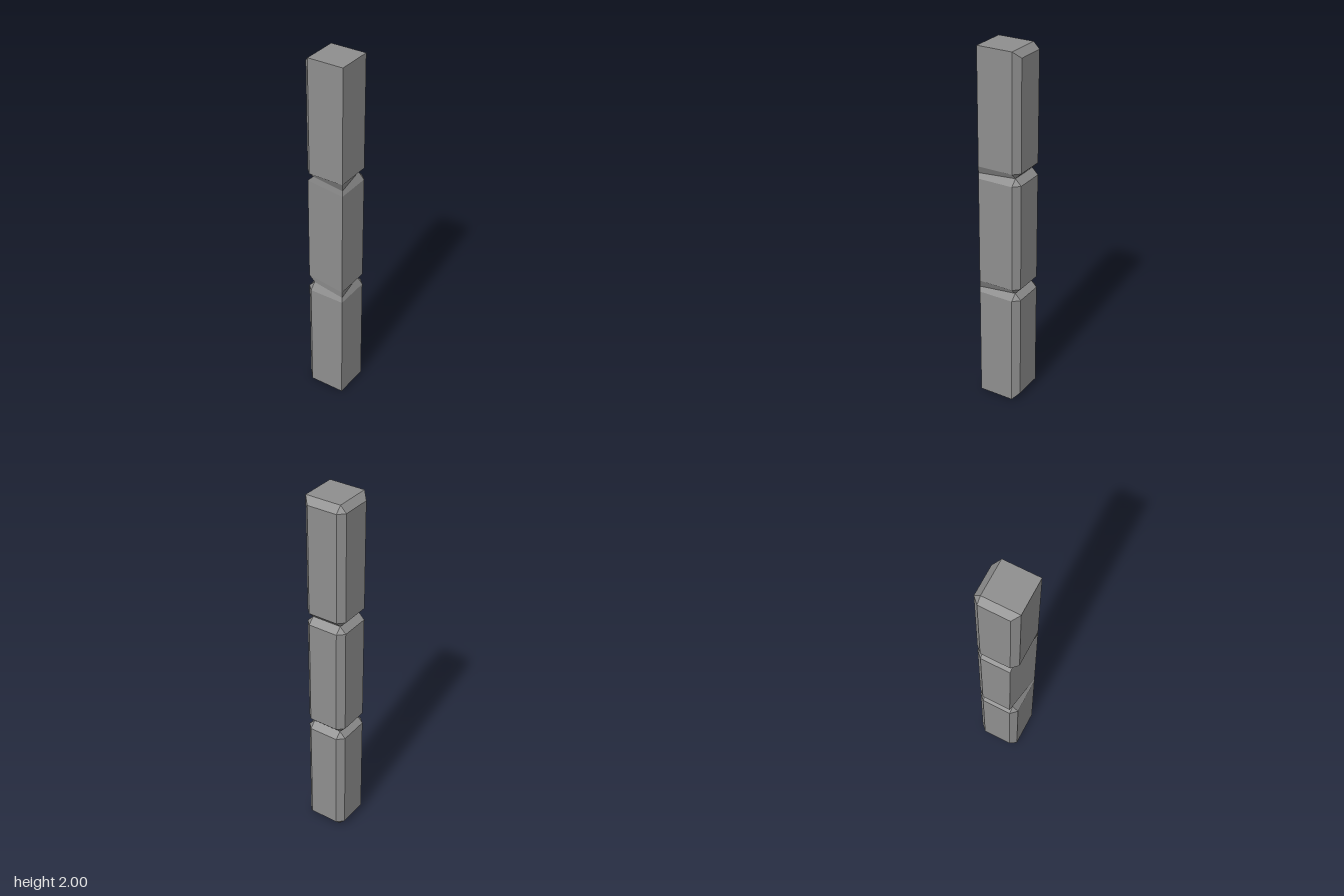
import * as THREE from 'three';

const W = 0.117;          // half width of the column
const I = 0.083;          // inset position of the bevels
const BEVEL = W - I;
const BLOCK = 2 / 3;      // height of one block

// Builds a closed solid from stacked rings of [x, z], counterclockwise from above.
// Each side panel gets a single normal, so slightly twisted bevels shade evenly.
function loft(rings) {
  const pos = [], norm = [];
  const tri = (normal, ...corners) => {
    for (const p of corners) {
      pos.push(p.x, p.y, p.z);
      norm.push(normal.x, normal.y, normal.z);
    }
  };
  const quad = (a, b, c, d) => {
    const ac = c.clone().sub(a), bd = d.clone().sub(b);
    const normal = ac.clone().cross(bd);
    if (normal.length() < 1e-8) return;
    normal.normalize();
    // The longer diagonal follows the recessed side of a twisted bevel
    const split = ac.length() > bd.length() ? [[a, b, c], [a, c, d]] : [[a, b, d], [b, c, d]];
    for (const [p, q, r] of split) {
      if (p.distanceTo(q) > 1e-5 && q.distanceTo(r) > 1e-5 && r.distanceTo(p) > 1e-5) tri(normal, p, q, r);
    }
  };
  const loops = rings.map(({ y, ring }) => ring.map(([x, z]) => new THREE.Vector3(x, y, z)));
  const n = loops[0].length;
  for (let k = 0; k < loops.length - 1; k++) {
    for (let i = 0; i < n; i++) {
      const j = (i + 1) % n;
      quad(loops[k][i], loops[k][j], loops[k + 1][j], loops[k + 1][i]);
    }
  }
  const low = loops[0], high = loops[loops.length - 1];
  const up = new THREE.Vector3(0, 1, 0), down = new THREE.Vector3(0, -1, 0);
  for (let i = 1; i < n - 1; i++) {
    tri(down, low[0], low[i + 1], low[i]);
    tri(up, high[0], high[i], high[i + 1]);
  }
  const geometry = new THREE.BufferGeometry();
  geometry.setAttribute('position', new THREE.Float32BufferAttribute(pos, 3));
  geometry.setAttribute('normal', new THREE.Float32BufferAttribute(norm, 3));
  return geometry;
}

// Ring points run: front left, front right, back right (2), back left (2), left front
const BODY = [[-I, W], [W, W], [W, -I], [I, -W], [-I, -W], [-W, -I], [-W, I]];
// Middle block: the front runs straight to the left side, without a chamfer
const MIDDLE_BODY = [[-W, I], ...BODY.slice(1)];
// Free end of the column: flush at the front and right
const END = [[-I, W], [W, W], [W, -I], [W, -I], [-I, -I], [-I, -I], [-I, W]];
// Seam between blocks: inset all round, except at the front right corner
const SEAM = [[-I, I], [W, W], [I, -I], [I, -I], [-I, -I], [-I, -I], [-I, I]];

export function createModel() {
  const group = new THREE.Group();
  group.name = 'cornerColumn';
  const material = new THREE.MeshStandardMaterial({ color: 0x8e8e8e });

  // Three stacked blocks, with grooves at the seams
  [
    ['lowerBlock', END, BODY, SEAM],
    ['middleBlock', SEAM, MIDDLE_BODY, SEAM],
    ['upperBlock', SEAM, BODY, END],
  ].forEach(([name, bottom, body, top], i) => {
    const geometry = loft([
      { y: 0, ring: bottom },
      { y: BEVEL, ring: body },
      { y: BLOCK - BEVEL, ring: body },
      { y: BLOCK, ring: top },
    ]);
    const block = new THREE.Mesh(geometry, material);
    block.name = name;
    block.position.y = i * BLOCK;
    group.add(block);
  });
  return group;
}
